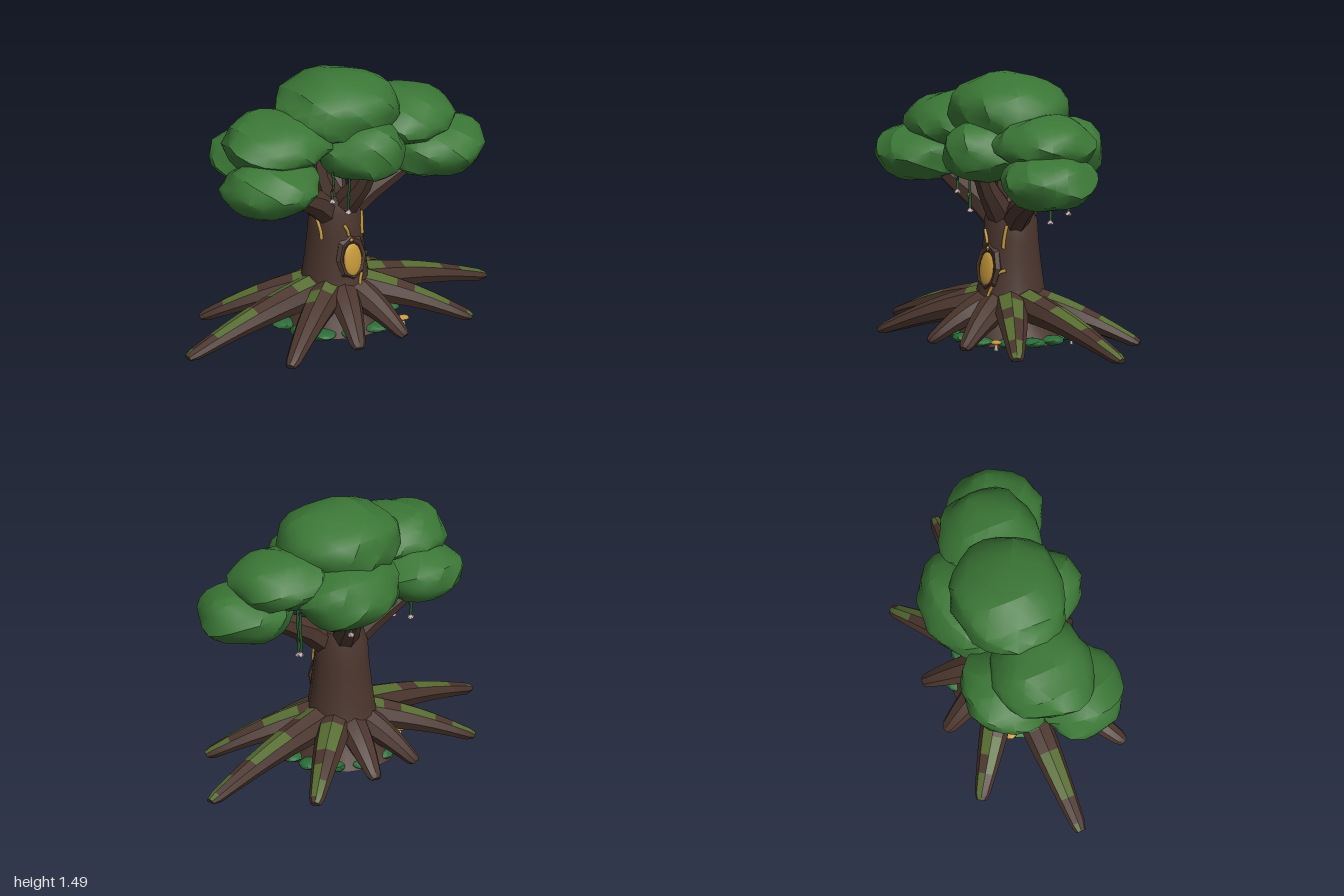
import * as THREE from 'three';
import { mergeVertices, toCreasedNormals } from 'three/addons/utils/BufferGeometryUtils.js';

const paint = (name, color, side = THREE.FrontSide) =>
  Object.assign(new THREE.MeshStandardMaterial({ color, side }), { name });
const V = (x, y, z) => new THREE.Vector3(x, y, z);

export function createModel() {
  const tree = new THREE.Group();
  tree.name = 'ancientTree';
  const bark = paint('bark', 0x4a352d, THREE.DoubleSide);
  const moss = paint('moss', 0x566b30);
  const leaf = paint('leaf', 0x3b7736);
  const bush = paint('bush', 0x286c37);
  const vine = paint('vine', 0x285a30);
  const hollow = paint('hollow', 0x2b1d18);
  const gold = paint('gold', 0xc79a3a);
  const petal = paint('petal', 0xc9b0b4);
  const stem = paint('stem', 0xcbbba0);

  const add = (name, geo, mat, pos, scale, parent = tree) => {
    const mesh = new THREE.Mesh(geo, mat);
    mesh.name = name;
    if (pos) mesh.position.set(...pos);
    if (scale) mesh.scale.set(...scale);
    parent.add(mesh);
    return mesh;
  };

  // Tapered limb: rings [centre, halfWidth, halfHeight]; isMoss(ring, side) picks the second material
  const limb = (name, rings, sides, isMoss = () => false) => {
    const loops = rings.map(([c, w, h], i) => {
      const a = rings[Math.max(i - 1, 0)][0], b = rings[Math.min(i + 1, rings.length - 1)][0];
      const t = b.clone().sub(a).normalize();
      const s = t.clone().cross(V(0, 1, 0)).normalize();
      const u = s.clone().cross(t);
      return Array.from({ length: sides }, (_, j) => {
        const ang = (j / sides) * Math.PI * 2;
        const p = c.clone().addScaledVector(s, Math.cos(ang) * w).addScaledVector(u, Math.sin(ang) * h);
        p.y = Math.max(p.y, 0);
        return p;
      });
    });
    const lists = [[], []];
    for (let i = 0; i < loops.length - 1; i++) {
      for (let j = 0; j < sides; j++) {
        const k = (j + 1) % sides;
        const [a, b, c, d] = [loops[i][j], loops[i + 1][j], loops[i + 1][k], loops[i][k]];
        lists[isMoss(i, j) ? 1 : 0].push(a, b, d, b, c, d);
      }
    }
    const end = loops[loops.length - 1], tip = rings[rings.length - 1][0];
    end.forEach((p, j) => lists[0].push(tip, end[(j + 1) % sides], p));
    const geo = new THREE.BufferGeometry().setFromPoints([...lists[0], ...lists[1]]);
    geo.addGroup(0, lists[0].length, 0);
    geo.addGroup(lists[0].length, lists[1].length, 1);
    return add(name, toCreasedNormals(geo, 0.5), [bark, moss]);
  };

  // Trunk with a flared foot, open underneath
  const profile = [[0.31, 0], [0.25, 0.09], [0.205, 0.2], [0.184, 0.3], [0.168, 0.42],
    [0.154, 0.55], [0.146, 0.67], [0.12, 0.75], [0, 0.78]];
  add('trunk', toCreasedNormals(new THREE.LatheGeometry(
    profile.map(([r, y]) => new THREE.Vector2(r, y)), 14), 0.6), bark, [-0.012, 0, 0]);

  // Ten spreading ridged roots with mossy patches on both upper facets
  const tips = [[0, 1], [0, -1]];
  for (const x of [-1, 1]) for (const z of [-1, 1]) tips.push([0.43 * x, 0.61 * z], [0.44 * x, 0.155 * z]);
  tips.forEach(([x, z], n) => {
    const len = Math.hypot(x, z);
    const rings = [0, 0.12, 0.24, 0.38, 0.52, 0.66, 0.8, 0.95, 1].map((t) => {
      const r = 0.06 + (len - 0.06) * t;
      const bulge = Math.sin(Math.PI * t), shrink = t === 1 ? 0.7 : 1;
      const y = 0.22 * (1 - t) + 0.008 * t + 0.03 * bulge;
      return [V((x / len) * r, y, (z / len) * r),
        (0.1 - 0.062 * t + 0.01 * bulge) * shrink, (0.105 - 0.075 * t) * shrink];
    });
    const reach = Math.abs(z) < 0.5 ? 0 : x > 0.1 && z > 0 ? 3 : 8;
    limb('root', rings, 8, (i, j) => i > 0 && i < reach &&
      ((j === 1 && (i + n) % 3 !== 0) || (j === 2 && (i + n) % 4 < 2)));
  });

  // Branches reaching into the crown
  const branchEnds = [[0.14, 0.96, 0.5], [-0.19, 0.98, 0.44], [0.14, 0.96, -0.5],
    [-0.26, 0.98, -0.14], [0.26, 1.0, -0.06], [-0.05, 1.05, 0.1]];
  for (const [x, y, z] of branchEnds) {
    limb('branch', [
      [V(x * 0.1, 0.64, z * 0.1), 0.075, 0.075],
      [V(x * 0.4, 0.76, z * 0.36), 0.075, 0.075],
      [V(x * 0.72, 0.865, z * 0.72), 0.06, 0.06],
      [V(x, y, z), 0.045, 0.045]], 7);
  }

  // Lumpy, angular leaf mass
  const lump = (seed, detail) => {
    const geo = new THREE.IcosahedronGeometry(1, detail);
    geo.deleteAttribute('uv');
    geo.deleteAttribute('normal');
    const welded = mergeVertices(geo, 1e-3);
    const p = welded.attributes.position;
    for (let i = 0; i < p.count; i++) {
      const v = V(p.getX(i), p.getY(i), p.getZ(i));
      const n = Math.sin(v.x * 3.1 + seed * 2.3) * Math.sin(v.z * 3.7 + seed) * 0.05 +
        Math.sin(v.y * 5.3 + v.x * 4.1 + seed * 1.7) * 0.035 + Math.sin(v.z * 9 - v.y * 8 + seed) * 0.03;
      v.multiplyScalar(1 + n);
      p.setXYZ(i, v.x, v.y, v.z);
    }
    return toCreasedNormals(welded, 0.5);
  };
  const crown = new THREE.Group();
  crown.name = 'crown';
  tree.add(crown);
  [ // centre, then radii
    [0, 1.28, 0, 0.325, 0.2, 0.36],
    [0.165, 0.97, -0.56, 0.26, 0.16, 0.275],
    [0.06, 1.15, -0.4, 0.28, 0.16, 0.29],
    [-0.18, 1.07, -0.13, 0.27, 0.19, 0.32],
    [-0.18, 1.02, 0.4, 0.265, 0.15, 0.28],
    [0.165, 0.985, 0.56, 0.255, 0.155, 0.28],
    [0.02, 1.17, 0.42, 0.28, 0.16, 0.31],
    [0.19, 1.08, -0.04, 0.255, 0.17, 0.25],
  ].forEach(([x, y, z, a, b, c], i) => add('leafMass', lump(i + 1, 3), leaf, [x, y, z], [a, b, c], crown));

  // Hanging vines ending in small bell flowers
  const vines = [[-0.03, 0.69, 0.38], [-0.02, 0.69, -0.34], [0.22, 0.73, 0.07], [0.22, 0.82, 0.18],
    [-0.22, 0.81, -0.13], [-0.1, 0.74, -0.4], [-0.22, 0.76, 0.33]];
  vines.forEach(([x, y, z], i) => {
    const path = new THREE.CatmullRomCurve3([V(x, 1.0, z), V(x + 0.004, 0.9, z - 0.003),
      V(x - 0.002, y + 0.08, z + 0.003), V(x, y + 0.02, z)]);
    add('vine', new THREE.TubeGeometry(path, 8, 0.008, 5), vine);
    add('vineLeaf', new THREE.OctahedronGeometry(0.014), vine, [x + 0.008, y + 0.09, z], [1, 1.5, 0.5]);
    add('flower', new THREE.ConeGeometry(0.019, 0.03, 6), petal, [x, y + 0.012, z]).rotation.y = i;
    for (let k = 0; k < 3; k++) {
      const a = (k / 3) * Math.PI * 2 + i;
      add('flowerPetal', new THREE.OctahedronGeometry(0.009), petal,
        [x + Math.cos(a) * 0.013, y + 0.002, z + Math.sin(a) * 0.013]);
    }
  });

  // Knot hollow holding a golden amber
  const knot = new THREE.Group();
  knot.name = 'knotHollow';
  knot.position.set(0.142, 0.42, 0);
  knot.rotation.set(-0.12, Math.PI / 2, 0, 'YXZ');
  tree.add(knot);
  const rim = toCreasedNormals(new THREE.TorusGeometry(0.082, 0.022, 5, 8), 0.4);
  add('knotRim', rim, bark, [0, 0, 0], [0.97, 1.33, 1], knot);
  add('knotInside', new THREE.CircleGeometry(0.08, 12), hollow, [0, 0, 0.016], [0.95, 1.33, 1], knot);
  add('amber', new THREE.SphereGeometry(1, 10, 8), gold, [0, -0.014, 0.014], [0.062, 0.095, 0.018], knot);
  add('amberBead', new THREE.OctahedronGeometry(0.015), gold, [0, 0.1, 0.02], null, knot);

  // Golden sap streaks: [angle from +x towards +z, top, bottom, drift]
  const radiusAt = (y) => {
    const i = profile.findIndex(([, h], n) => n > 0 && h >= y);
    const [r0, h0] = profile[i - 1], [r1, h1] = profile[i];
    return r0 + ((r1 - r0) * (y - h0)) / (h1 - h0);
  };
  [[1.4, 0.66, 0.53, -0.3], [0.3, 0.62, 0.55, -0.2], [-0.75, 0.66, 0.53, 0.12],
    [-0.33, 0.32, 0.26, 0.14], [-0.75, 0.41, 0.39, 0.25]].forEach(([a, top, low, drift]) => {
    const pts = [0, 0.33, 0.67, 1].map((t) => {
      const y = top + (low - top) * t, ang = a + drift * Math.sin(t * 1.57), r = radiusAt(y) + 0.003;
      return V(Math.cos(ang) * r - 0.012, y, Math.sin(ang) * r);
    });
    add('sapStreak', new THREE.TubeGeometry(new THREE.CatmullRomCurve3(pts), 6, 0.01, 5), gold);
  });

  // Low bushes tucked between the roots
  for (let i = 0; i < 12; i++) {
    const a = (i / 12) * Math.PI * 2 + 0.26;
    const s = 0.062 + 0.012 * Math.sin(i * 2.4);
    add('bush', lump(i + 20, 1), bush, [Math.cos(a) * 0.27, 0.025, Math.sin(a) * 0.31], [s, 0.027, s]);
  }

  // Small mushrooms
  [[-0.13, 0.33, 1], [0.29, -0.25, 0.9], [-0.16, -0.35, 0.7]].forEach(([x, z, s]) => {
    const shroom = new THREE.Group();
    shroom.name = 'mushroom';
    shroom.position.set(x, 0, z);
    shroom.scale.setScalar(s);
    tree.add(shroom);
    add('mushroomStem', new THREE.CylinderGeometry(0.01, 0.013, 0.045, 6), stem, [0, 0.0225, 0], null, shroom);
    add('mushroomCap', new THREE.SphereGeometry(0.036, 8, 6), gold, [0, 0.05, 0], [1, 0.42, 1], shroom);
  });

  return tree;
}
